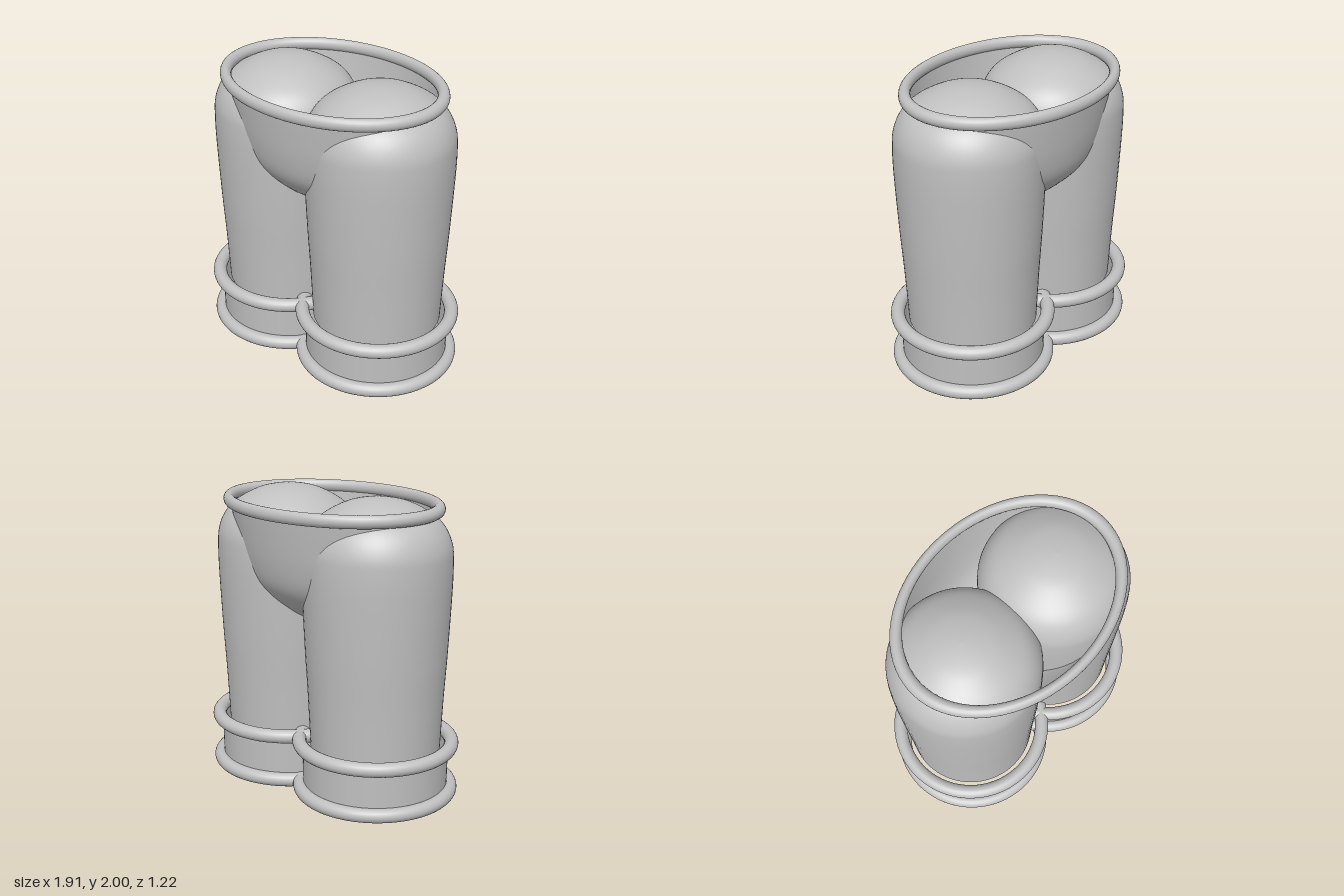
import * as THREE from 'three';

const fabric = new THREE.MeshStandardMaterial({ color: 0xc0c0c0, side: THREE.DoubleSide });
fabric.name = 'greyFabric';

// Smooth surface of revolution through a few [radius, height] points
function lathe(name, points, samples) {
  const curve = new THREE.SplineCurve(points.map(([r, y]) => new THREE.Vector2(r, y)));
  const profile = curve.getPoints(samples);
  profile.forEach(p => { p.x = Math.max(p.x, 0); });
  const mesh = new THREE.Mesh(new THREE.LatheGeometry(profile, 72), fabric);
  mesh.name = name;
  return mesh;
}

// Round horizontal trim ring
function ring(name, radius, tube, y) {
  const geometry = new THREE.TorusGeometry(radius, tube, 20, 80);
  geometry.rotateX(Math.PI / 2);
  const mesh = new THREE.Mesh(geometry, fabric);
  mesh.position.y = y;
  mesh.name = name;
  return mesh;
}

// Tapered leg with a domed top, open cuff and two trim rings
function leg(name, x) {
  const group = new THREE.Group();
  group.name = name;
  group.add(lathe('legTube', [
    [0.433, 0.34], [0.449, 0.7], [0.466, 1.0], [0.483, 1.4], [0.485, 1.6],
    [0.474, 1.71], [0.43, 1.81], [0.355, 1.886], [0.22, 1.96], [0.1, 1.991], [0, 2.0],
  ], 60));

  const cuff = new THREE.Mesh(
    new THREE.CylinderGeometry(0.488, 0.484, 0.32, 72, 1, true), fabric);
  cuff.position.y = 0.21;
  cuff.name = 'cuff';
  group.add(cuff);

  group.add(ring('cuffBottomRing', 0.505, 0.047, 0.05));
  group.add(ring('cuffTopRing', 0.508, 0.047, 0.366));
  group.position.x = x;
  return group;
}

export function createModel() {
  const model = new THREE.Group();
  model.name = 'trousers';
  model.add(leg('leftLeg', 0.4), leg('rightLeg', -0.4));

  // Oval hip bowl, open at the waist
  const hips = lathe('hips', [
    [0, 1.1], [0.13, 1.125], [0.26, 1.195], [0.345, 1.26], [0.43, 1.35],
    [0.485, 1.45], [0.522, 1.6], [0.547, 1.78], [0.562, 1.92],
  ], 48);
  hips.scale.x = 1.36;
  model.add(hips);

  // Oval waistband
  const waist = ring('waistband', 0.768, 0.042, 1.92);
  waist.scale.z = 0.752;
  model.add(waist);
  return model;
}
